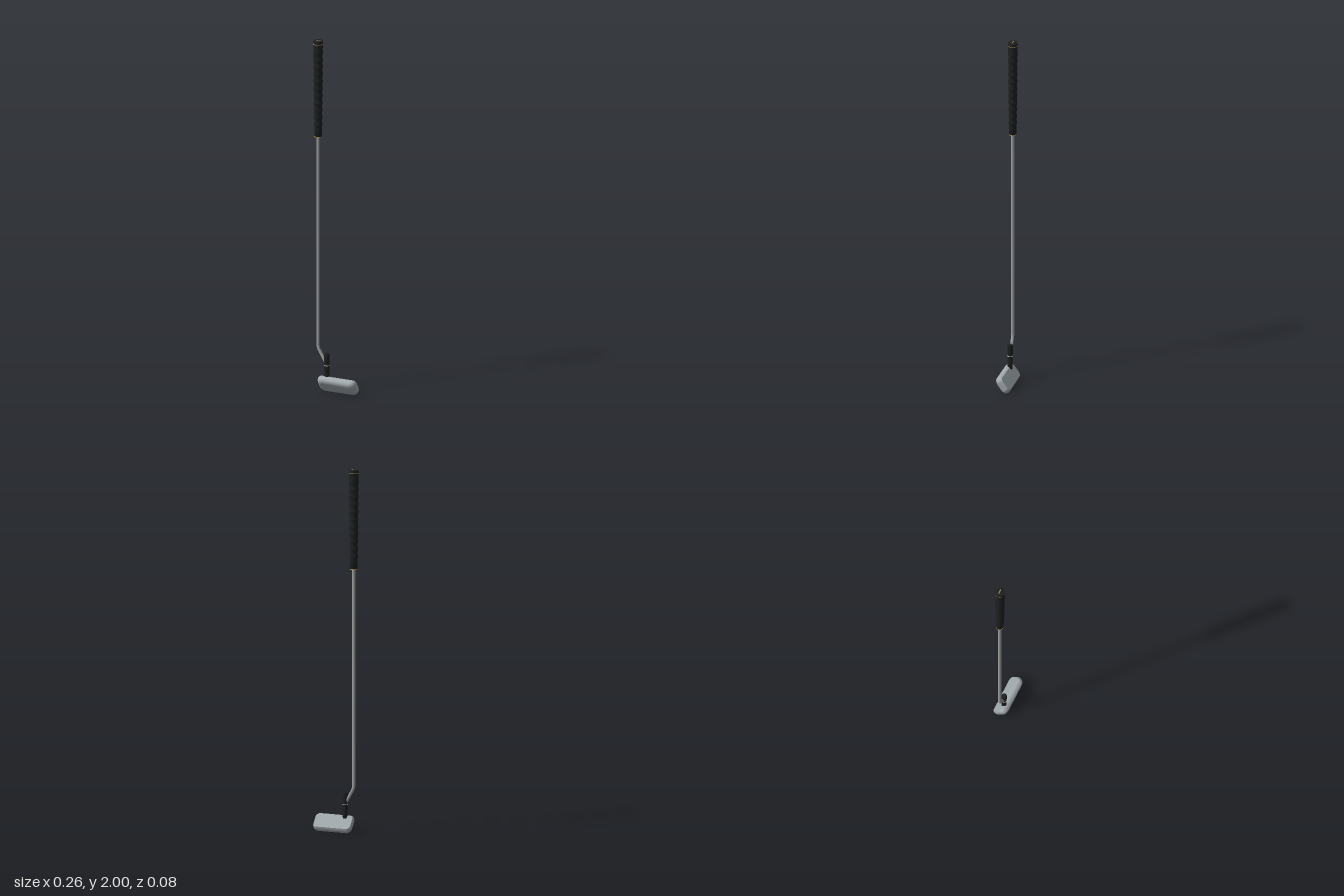
import * as THREE from 'three';

const mat = (name, color, side = THREE.FrontSide) => {
  const m = new THREE.MeshStandardMaterial({ color, side });
  m.name = name;
  return m;
};

// Rounded rectangle outline, counter-clockwise, as [x, u] points
function roundedRect(x0, x1, u0, u1, r, steps = 7) {
  const pts = [];
  const corners = [[x1 - r, u1 - r, 0], [x0 + r, u1 - r, 1], [x0 + r, u0 + r, 2], [x1 - r, u0 + r, 3]];
  for (const [cx, cu, q] of corners) {
    for (let i = 0; i <= steps; i++) {
      const a = (q + i / steps) * Math.PI / 2;
      pts.push([cx + r * Math.cos(a), cu + r * Math.sin(a)]);
    }
  }
  return pts;
}

// Head: rounded outlines stacked along the tilted depth axis, flat plate at the back
function headGeometries() {
  const uz = 0.59, uy = 0.807;
  const place = ([x, u], n) => [x, 0.093 + u * uy - n * uz, 0.003 + u * uz + n * uy];
  const rings = [ // depth, x0, x1, u0, u1, corner radius
    [0, -0.098, 0.123, -0.078, 0, 0.02],
    [0.008, -0.1, 0.127, -0.084, 0.008, 0.023],
    [0.016, -0.1, 0.128, -0.088, 0.012, 0.025],
    [0.029, -0.098, 0.126, -0.089, 0.012, 0.027],
    [0.037, -0.094, 0.122, -0.085, 0.008, 0.027],
    [0.043, -0.087, 0.115, -0.077, 0.001, 0.026],
    [0.046, -0.076, 0.104, -0.066, -0.01, 0.022],
  ].map(([n, ...r]) => roundedRect(...r).map(p => place(p, n)));
  const count = rings[0].length;

  const body = [], index = [];
  rings.forEach(r => r.forEach(p => body.push(...p)));
  for (let k = 0; k < rings.length - 1; k++) {
    for (let i = 0; i < count; i++) {
      const a = k * count + i, b = k * count + (i + 1) % count;
      index.push(a, b, a + count, b, b + count, a + count);
    }
  }
  const last = (rings.length - 1) * count;
  for (let i = 1; i < count - 1; i++) index.push(last, last + i, last + i + 1);

  const plate = [], plateIndex = [];
  rings[0].forEach(p => plate.push(...p));
  for (let i = 1; i < count - 1; i++) plateIndex.push(0, i + 1, i);

  return [[body, index], [plate, plateIndex]].map(([pos, idx]) => {
    const g = new THREE.BufferGeometry();
    g.setAttribute('position', new THREE.Float32BufferAttribute(pos, 3));
    g.setIndex(idx);
    g.computeVertexNormals();
    return g;
  });
}

export function createModel() {
  const model = new THREE.Group();
  const steel = mat('brushed steel', 0xa3abaf, THREE.DoubleSide);
  const chrome = mat('shaft chrome', 0x9c9e9f);
  const rubber = mat('black rubber', 0x1d1f21);
  const gold = mat('gold trim', 0xb59a55);
  const silver = mat('silver trim', 0xc8c8c4);

  const add = (name, geometry, material, x = 0, y = 0, z = 0) => {
    const m = new THREE.Mesh(geometry, material);
    m.name = name;
    m.position.set(x, y, z);
    model.add(m);
    return m;
  };
  const gx = -0.103, hx = -0.051, cz = 0.003;

  // Head
  const [body, plate] = headGeometries();
  add('headBody', body, steel);
  add('headPlate', plate, steel);

  // Hosel sleeve with a rounded rim and a thin band
  const hosel = [[0, 0.08], [0.013, 0.08], [0.0135, 0.1], [0.0155, 0.212], [0.0145, 0.22], [0.011, 0.224], [0, 0.224]];
  add('hosel', new THREE.LatheGeometry(hosel.map(p => new THREE.Vector2(...p)), 28), rubber, hx, 0, cz);
  add('hoselBand', new THREE.CylinderGeometry(0.0157, 0.0157, 0.004, 28), silver, hx, 0.157, cz);

  // Shaft: straight tube, then a bend into the hosel
  const path = new THREE.CurvePath();
  const v = (x, y) => new THREE.Vector3(x, y, cz);
  path.add(new THREE.LineCurve3(v(gx, 1.47), v(gx, 0.265)));
  path.add(new THREE.QuadraticBezierCurve3(v(gx, 0.265), v(gx, 0.25), v(gx + 0.008, 0.236)));
  path.add(new THREE.LineCurve3(v(gx + 0.008, 0.236), v(hx, 0.16)));
  add('shaft', new THREE.TubeGeometry(path, 240, 0.0085, 16), chrome);

  // Grip: tapered sleeve with evenly spaced raised ribs
  const radius = y => 0.0205 + 0.005 * (y - 1.45) / 0.55;
  const profile = [[0, 1.45], [0.0205, 1.45], [radius(1.505), 1.505]];
  const ribs = 11, pitch = 0.041;
  for (let i = 0; i < ribs; i++) {
    const y = 1.522 + i * pitch;
    profile.push([radius(y) - 0.0005, y - 0.012], [radius(y) + 0.0025, y - 0.002],
      [radius(y) + 0.0025, y + 0.002], [radius(y) - 0.0005, y + 0.012]);
  }
  profile.push([0.0255, 1.965], [0.0265, 1.972], [0.0265, 1.993], [0.0245, 1.999], [0, 1.999]);
  add('grip', new THREE.LatheGeometry(profile.map(p => new THREE.Vector2(...p)), 32), rubber, gx, 0, cz);

  // Grip trim: bands at both ends and a bar on the cap
  add('gripTopBand', new THREE.CylinderGeometry(0.0268, 0.0268, 0.003, 32), gold, gx, 1.98, cz);
  add('gripBottomBand', new THREE.CylinderGeometry(0.0212, 0.0212, 0.004, 32), gold, gx, 1.453, cz);
  add('capBar', new THREE.BoxGeometry(0.028, 0.002, 0.004), gold, gx, 1.999, cz);

  return model;
}
